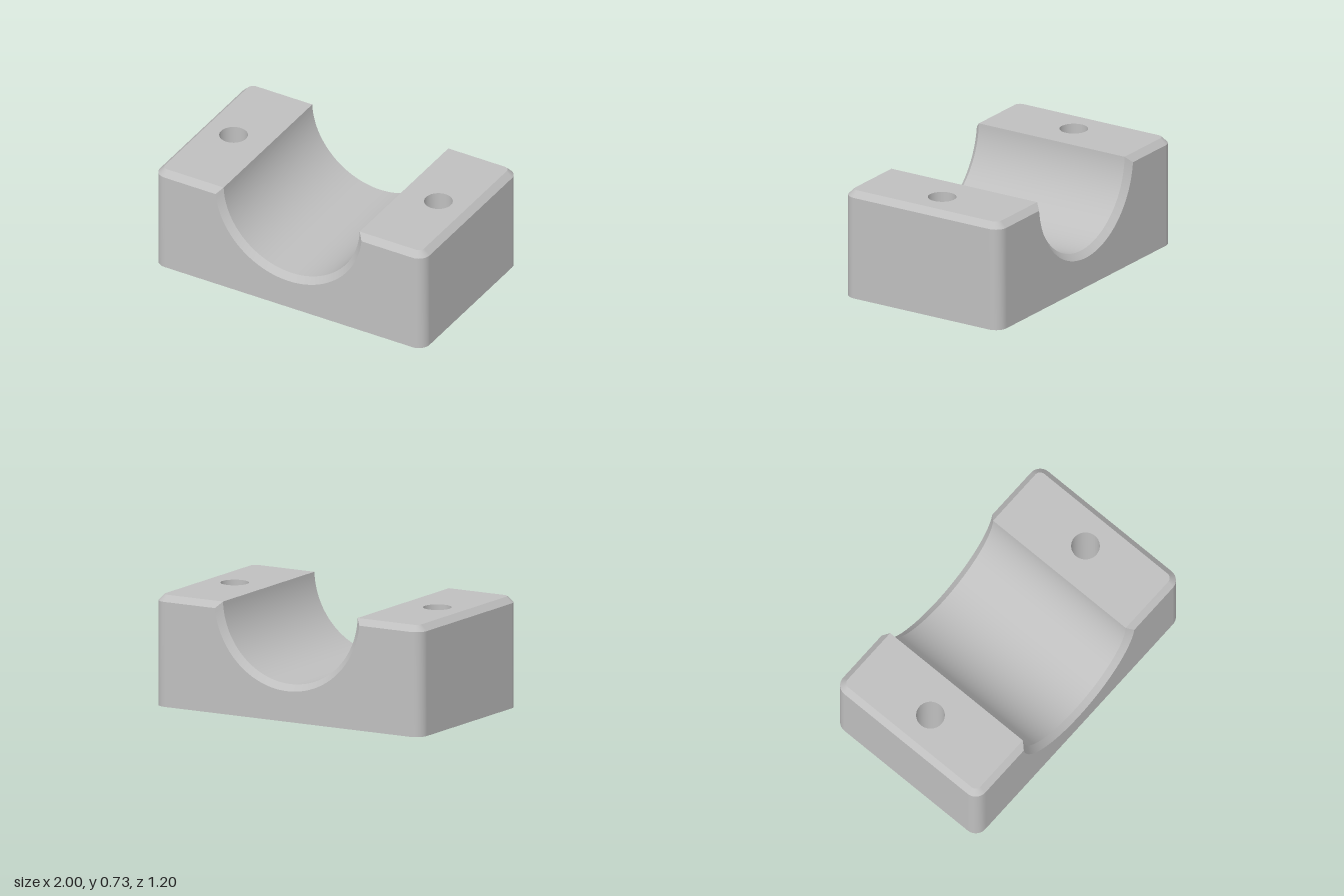
import * as THREE from 'three';

const W = 1, D = 0.6, H = 0.725;      // half width, half depth, height
const C = 0.04, R = 0.08;             // chamfer and corner radius
const SADDLE_Y = 0.745, SADDLE_R = 0.505;
const HOLE_X = 0.76, HOLE_R = 0.092;

const steel = new THREE.MeshStandardMaterial({ color: 0xbfbfbf });
steel.name = 'plain grey';

// Smooth strip between two rows of points; faces along (row direction) x (a to b)
function strip(a, b) {
  const n = a.length, index = [];
  for (let i = 0; i < n - 1; i++) index.push(i, i + 1, n + i, n + i, i + 1, n + i + 1);
  const g = new THREE.BufferGeometry().setFromPoints([...a, ...b]);
  g.setIndex(index);
  g.computeVertexNormals();
  return g;
}

// Plan outline of the right end, front to back, moved inwards by inset
function rim(inset) {
  const pts = [], r = R - inset;
  for (const [cz, start] of [[D - R, Math.PI / 2], [R - D, 0]]) {
    for (let i = 0; i <= 10; i++) {
      const t = start - (i / 10) * Math.PI / 2;
      pts.push(new THREE.Vector2(W - R + r * Math.cos(t), cz + r * Math.sin(t)));
    }
  }
  return pts;
}
const lift = (pts, y) => pts.map(p => new THREE.Vector3(p.x, y, p.y));

// Lower arc of the saddle, left to right, ending at height top
function arc(r, top) {
  const e = Math.asin((SADDLE_Y - top) / r), pts = [];
  for (let i = 0; i <= 64; i++) {
    const t = Math.PI + e + (i / 64) * (Math.PI - 2 * e);
    pts.push(new THREE.Vector2(r * Math.cos(t), SADDLE_Y + r * Math.sin(t)));
  }
  return pts;
}
const place = (pts, z) => pts.map(p => new THREE.Vector3(p.x, p.y, z));

function circle(x) {
  const pts = [];
  for (let i = 0; i <= 48; i++) {
    const t = (i / 48) * Math.PI * 2;
    pts.push(new THREE.Vector2(x + HOLE_R * Math.cos(t), HOLE_R * Math.sin(t)));
  }
  return pts;
}

function flat(outline, holes = []) {
  const s = new THREE.Shape(outline);
  for (const x of holes) s.holes.push(new THREE.Path(circle(x).slice(0, -1)));
  return new THREE.ShapeGeometry(s);
}

export function createModel() {
  const model = new THREE.Group();
  model.name = 'saddleBlock';
  const add = (name, geometry, turn = 0) => {
    const m = new THREE.Mesh(geometry, steel);
    m.name = name;
    m.rotation.y = turn;
    model.add(m);
  };
  const V = (x, y) => new THREE.Vector2(x, y);
  const inner = arc(SADDLE_R, H), outer = arc(SADDLE_R + C, H - C);
  const xi = inner[64].x, xo = outer[64].x;

  // End walls, top chamfers, lands and bolt holes: one end, then turned half round
  const foot = rim(0), top = rim(C);
  const low = [V(xo, D), ...foot, V(xo, -D)];
  const high = [V(xi, D - C), ...top, V(xi, C - D)];
  const wall = strip(lift(foot, 0), lift(foot, H - C));
  const chamfer = strip(lift(low, H - C), lift(high, H));
  const land = flat(high, [HOLE_X]).rotateX(-Math.PI / 2).translate(0, H, 0);
  const bore = strip(lift(circle(HOLE_X), 0), lift(circle(HOLE_X), H));

  // Front face with its saddle cut and bevel, turned for the back
  const face = flat([V(R - W, 0), V(W - R, 0), V(W - R, H - C), ...[...outer].reverse(), V(R - W, H - C)])
    .translate(0, 0, D);
  const bevel = strip(place(outer, D), place(inner, D - C));

  for (const [end, side, turn] of [['left', 'front', 0], ['right', 'back', Math.PI]]) {
    add(end + 'EndWall', wall, turn);
    add(end + 'TopChamfer', chamfer, turn);
    add(end + 'Land', land, turn);
    add(end + 'BoltHole', bore, turn);
    add(side + 'Face', face, turn);
    add(side + 'SaddleBevel', bevel, turn);
  }

  // Half-round saddle and underside
  add('saddle', strip(place(inner, D - C), place(inner, C - D)));
  const base = [...foot, ...foot.map(p => V(-p.x, -p.y))];
  add('underside', flat(base, [HOLE_X, -HOLE_X]).rotateX(Math.PI / 2));

  return model;
}
